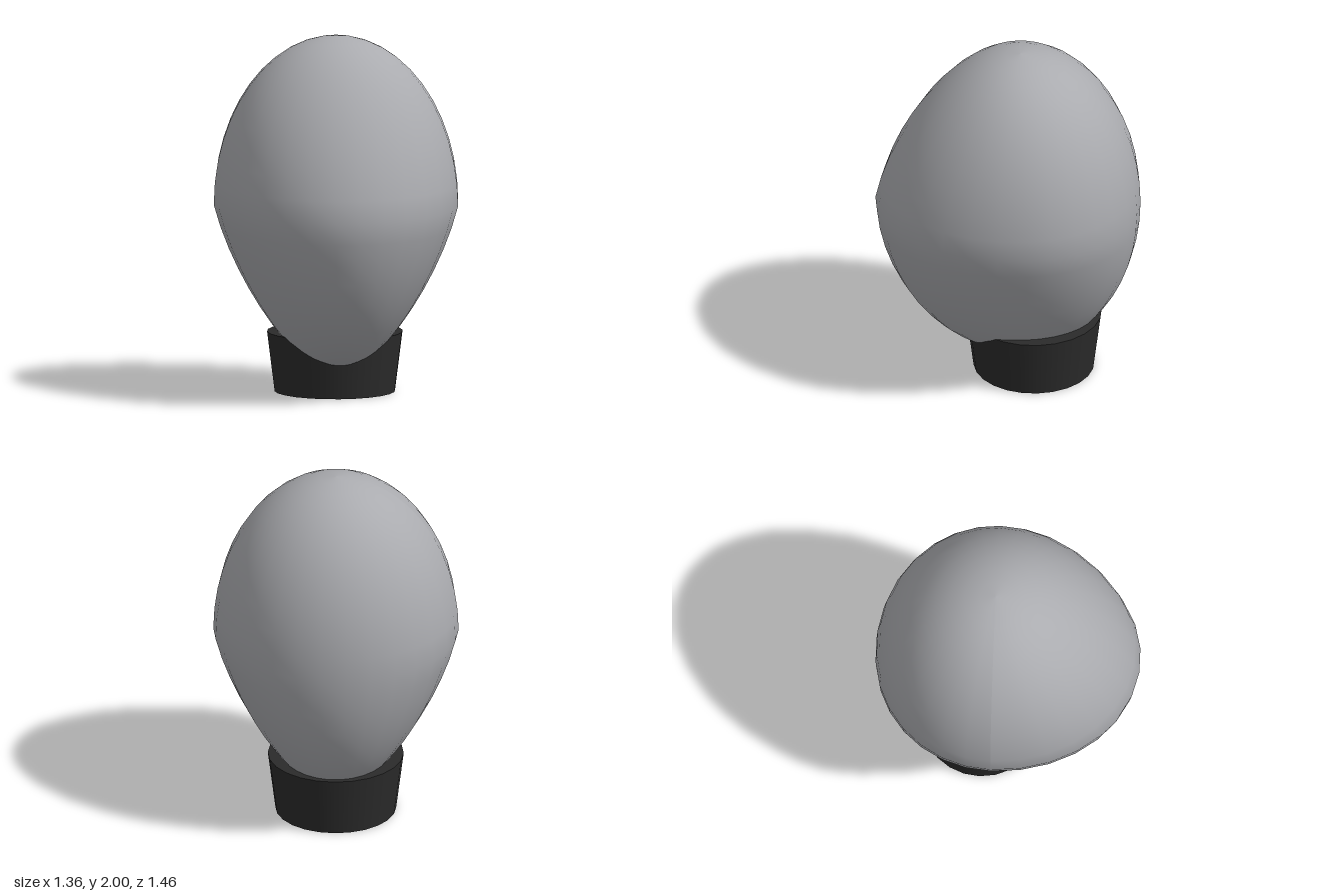
import * as THREE from 'three';

const HEAD_Y = 1.06, HEAD_Z = -0.07; // widest level and axis of the head
const RX = 0.68, RY = 0.94, RZ = 0.667;

// Egg-shaped head: tapered towards the jaw, bulging forward at mid height
function headGeometry() {
  const geo = new THREE.SphereGeometry(1, 30, 24);
  const p = geo.attributes.position;
  for (let i = 0; i < p.count; i++) {
    const y = p.getY(i), t = Math.abs(y);
    const taper = y < 0 ? 1 - 0.35 * t : 1;
    const bulge = p.getZ(i) > 0 ? 1.207 - (y > 0 ? 0.27 : 0.11) * t : 1;
    p.setXYZ(i, p.getX(i) * RX * taper, y * RY, p.getZ(i) * RZ * bulge);
  }
  geo.computeVertexNormals();
  return geo;
}

export function createModel() {
  const model = new THREE.Group();
  const skin = new THREE.MeshStandardMaterial({ color: 0xaaabaf });
  skin.name = 'light grey';
  const dark = new THREE.MeshStandardMaterial({ color: 0x2b2b2b });
  dark.name = 'dark grey';

  const head = new THREE.Mesh(headGeometry(), skin);
  head.name = 'head';
  head.position.set(0, HEAD_Y, HEAD_Z);

  // Neck, flaring slightly upward and set towards the back
  const neck = new THREE.Mesh(new THREE.CylinderGeometry(0.377, 0.335, 0.335, 24), dark);
  neck.name = 'neck';
  neck.position.set(0, 0.1675, -0.145);

  model.add(head, neck);
  return model;
}
